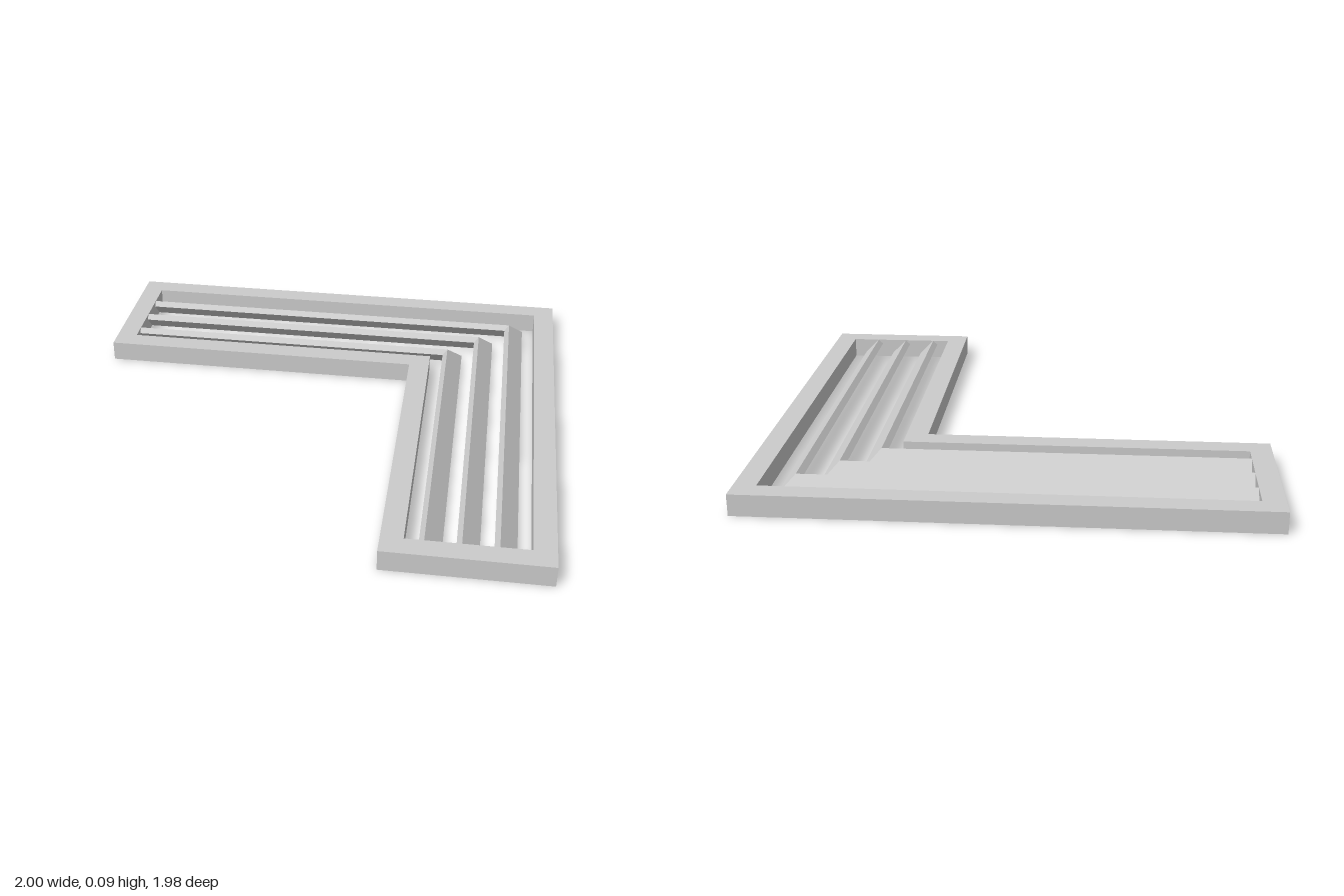
import * as THREE from 'three';

const X = 1, Z = 0.988;      // half extents
const ARM = 0.638;           // width of each arm
const RAIL = 0.087;          // width of the frame rails
const HEIGHT = 0.085;

const material = new THREE.MeshStandardMaterial({ color: 0xcccccc, flatShading: true });

// L outline, inset by t; shape y is -z
function lOutline(t) {
  return [
    [-X + t, Z - t], [-X + t, Z - ARM + t], [X - ARM + t, Z - ARM + t],
    [X - ARM + t, -Z + t], [X - t, -Z + t], [X - t, Z - t],
  ].map(([x, y]) => new THREE.Vector2(x, y));
}

function createFrame() {
  const shape = new THREE.Shape(lOutline(0));
  shape.holes.push(new THREE.Path(lOutline(RAIL)));
  const geometry = new THREE.ExtrudeGeometry(shape, { depth: HEIGHT, bevelEnabled: false });
  geometry.rotateX(-Math.PI / 2);
  const mesh = new THREE.Mesh(geometry, material);
  mesh.name = 'frame';
  return mesh;
}

// Board tilted 45 degrees, swept along both arms and mitred at the corner
function createSlat(offset) {
  const profile = [[0, 0.02], [0.065, HEIGHT], [0.085, 0.065], [0.02, 0]];
  const stations = [
    (d, y) => [-X + RAIL, y, -Z + d],
    (d, y) => [X - d, y, -Z + d],
    (d, y) => [X - d, y, Z - RAIL],
  ].map((place) => profile.map(([d, y]) => place(offset + d, y)));

  const positions = [];
  const quad = (a, b, c, d) => positions.push(...a, ...b, ...c, ...a, ...c, ...d);
  for (let s = 0; s < 2; s++) {
    for (let i = 0; i < 4; i++) {
      const j = (i + 1) % 4;
      quad(stations[s][i], stations[s][j], stations[s + 1][j], stations[s + 1][i]);
    }
  }
  // End caps
  quad(...[...stations[0]].reverse());
  quad(...stations[2]);

  const geometry = new THREE.BufferGeometry();
  geometry.setAttribute('position', new THREE.Float32BufferAttribute(positions, 3));
  geometry.computeVertexNormals();
  return new THREE.Mesh(geometry, material);
}

export function createModel() {
  const model = new THREE.Group();
  model.name = 'cornerLouver';
  model.add(createFrame());

  const slats = new THREE.Group();
  slats.name = 'slats';
  for (let i = 0; i < 3; i++) {
    const slat = createSlat(0.139 + i * 0.1365);
    slat.name = `slat${i + 1}`;
    slats.add(slat);
  }
  model.add(slats);
  return model;
}
